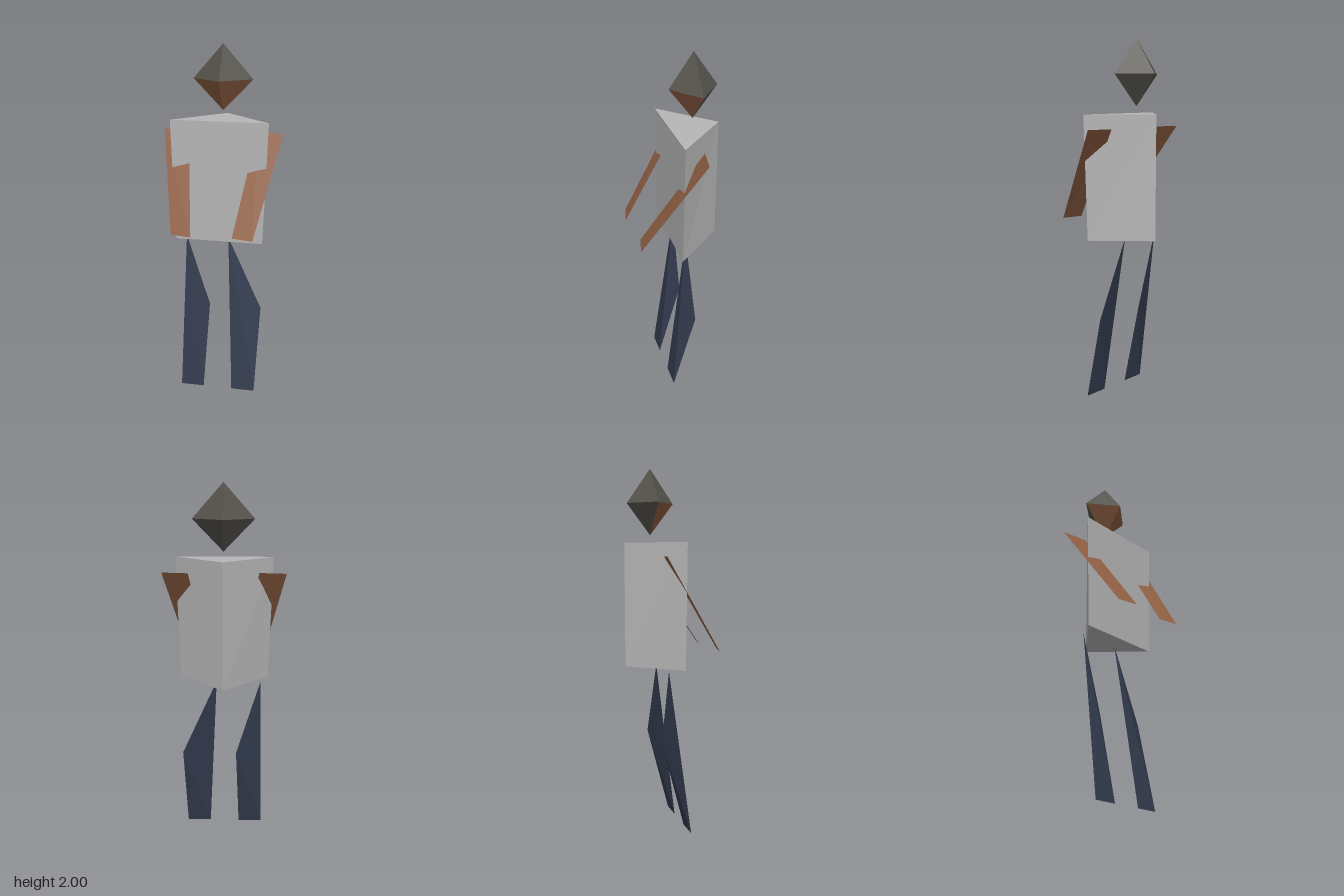
import * as THREE from 'three';

const material = (name, color, side = THREE.FrontSide) => {
  const m = new THREE.MeshStandardMaterial({ color, side, flatShading: true });
  m.name = name;
  return m;
};

// Faceted mesh from corner points; every triangle is turned to face away from the middle.
function facets(name, mat, points, faces) {
  const p = points.map((c) => new THREE.Vector3(...c));
  const middle = p.reduce((s, v) => s.add(v), new THREE.Vector3()).divideScalar(p.length);
  const corners = [];
  for (const [i, j, k] of faces) {
    const normal = p[j].clone().sub(p[i]).cross(p[k].clone().sub(p[i]));
    const outward = normal.dot(p[i].clone().sub(middle)) >= 0;
    corners.push(p[i], ...(outward ? [p[j], p[k]] : [p[k], p[j]]));
  }
  const geometry = new THREE.BufferGeometry().setFromPoints(corners);
  geometry.computeVertexNormals();
  const mesh = new THREE.Mesh(geometry, mat);
  mesh.name = name;
  return mesh;
}

export function createModel() {
  const model = new THREE.Group();
  model.name = 'figure';
  const hair = material('hair', 0x54514a);
  const skin = material('skin', 0x8f5f43, THREE.DoubleSide);
  const shirt = material('shirt', 0xb6b6b6);
  const trousers = material('trousers', 0x333b4e);

  // Head: an eight-sided diamond, skin on the two lower front faces
  const head = new THREE.Group();
  head.name = 'head';
  const diamond = [
    [0, 2, -0.105], [0, 1.645, -0.105], // top, chin
    [-0.165, 1.815, -0.105], [0, 1.815, 0.025], [0.165, 1.815, -0.105], [0, 1.815, -0.235],
  ];
  head.add(facets('hair', hair, diamond,
    [[0, 2, 3], [0, 3, 4], [0, 4, 5], [0, 5, 2], [1, 4, 5], [1, 5, 2]]));
  head.add(facets('face', skin, diamond, [[1, 2, 3], [1, 3, 4]]));
  model.add(head);

  // Torso: three-sided prism, flat in front and a little narrower at the waist
  const ring = (y, w) => [[-w, y, 0.022], [w, y, 0.022], [0, y, -0.25]];
  model.add(facets('torso', shirt, [...ring(1.605, 0.27), ...ring(0.925, 0.247)], [
    [0, 1, 2], [3, 4, 5], // ends
    [0, 1, 3], [1, 4, 3], // front
    [1, 2, 4], [2, 5, 4], // left side
    [2, 0, 5], [0, 3, 5], // right side
  ]));

  // Arms: single flat panels sloping forward
  const arm = (name, top, bottom) => facets(name, skin, [
    [top, 1.53, -0.108], [top + 0.145, 1.53, -0.082],
    [bottom + 0.115, 1.02, 0.248], [bottom, 1.02, 0.222],
  ], [[0, 3, 2], [0, 2, 1]]);
  model.add(arm('leftArm', 0.19, 0.11), arm('rightArm', -0.335, -0.225));

  // Legs: slim four-cornered wedges with the knee corner set back
  const leg = (name, hip, knee, foot) => facets(name, trousers, [
    [hip, 0.92, -0.06], [knee, 0.49, -0.06], [foot, 0, 0.065], [foot + 0.135, 0, 0.065],
  ], [[0, 2, 3], [0, 3, 1], [0, 1, 2], [1, 3, 2]]);
  model.add(leg('leftLeg', 0.04, 0.235, 0.085), leg('rightLeg', -0.205, -0.07, -0.22));

  return model;
}
